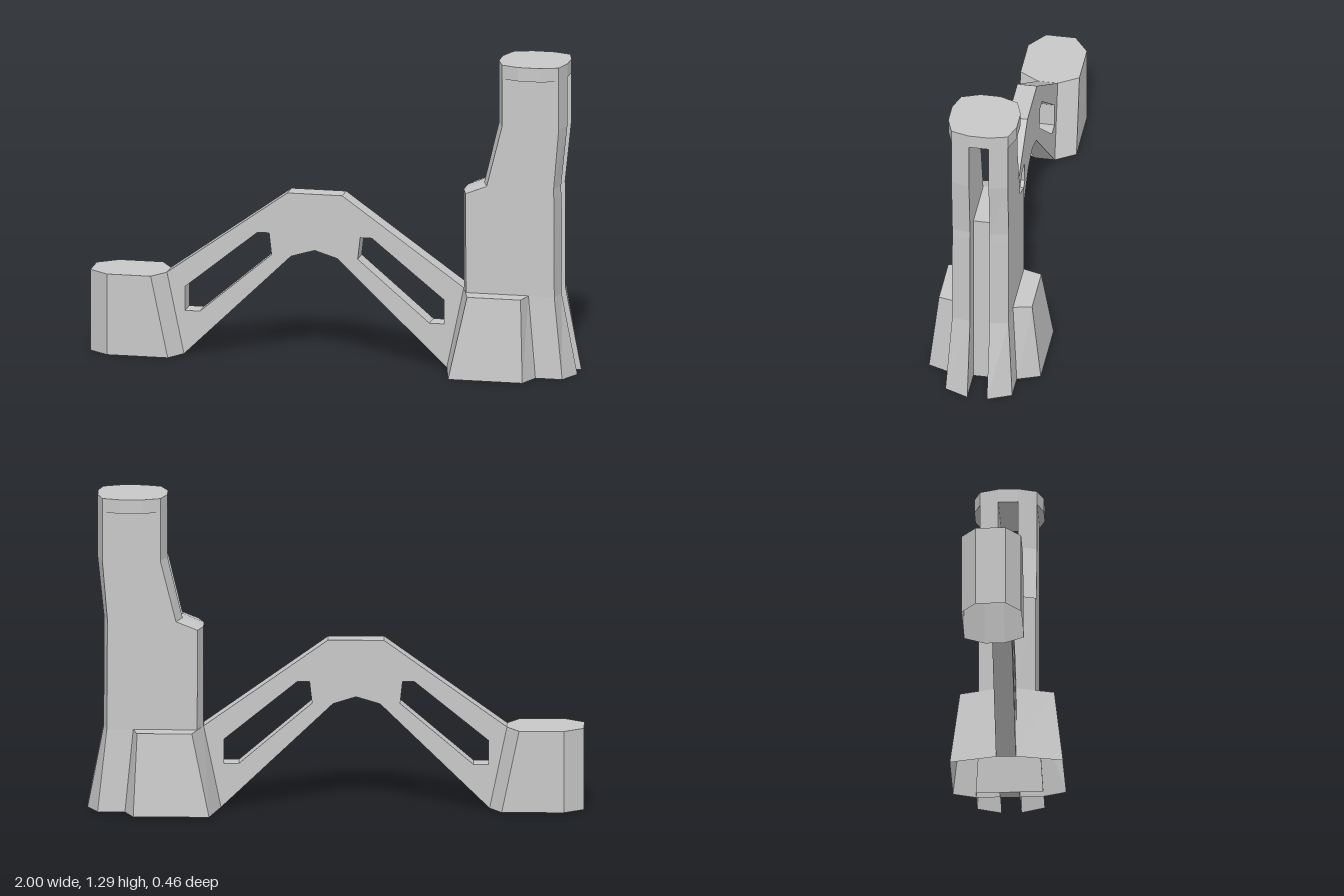
import * as THREE from 'three';

const grey = new THREE.MeshStandardMaterial({ color: 0xc8c8c8, side: THREE.DoubleSide, flatShading: true });
grey.name = 'plain grey';

// Skin a stack of [y, ring] levels; rings are [x, z] loops, counterclockwise from above
function loft(name, levels, { top = true, bottom = false } = {}) {
  const pos = [];
  const n = levels[0][1].length;
  const point = (l, i) => {
    const [y, ring] = levels[l];
    const [x, z] = ring[i % n];
    return [x, y, z];
  };
  const tri = (a, b, c) => pos.push(...a, ...b, ...c);
  for (let l = 0; l < levels.length - 1; l++) {
    for (let i = 0; i < n; i++) {
      const a = point(l, i), b = point(l, i + 1), c = point(l + 1, i + 1), d = point(l + 1, i);
      tri(a, b, c);
      tri(a, c, d);
    }
  }
  const last = levels.length - 1;
  for (let i = 1; i < n - 1; i++) {
    if (top) tri(point(last, 0), point(last, i), point(last, i + 1));
    if (bottom) tri(point(0, 0), point(0, i + 1), point(0, i));
  }
  const geo = new THREE.BufferGeometry();
  geo.setAttribute('position', new THREE.Float32BufferAttribute(pos, 3));
  geo.computeVertexNormals();
  const mesh = new THREE.Mesh(geo, grey);
  mesh.name = name;
  return mesh;
}

const flip = (half) => half.map(([x, z]) => [x, -z]).reverse();
const symmetric = (half) => [...half, ...flip(half)];

// Flat profile in x and y, extruded evenly about z = 0
function plate(name, outline, holes, thickness) {
  const toVec = (pts) => pts.map(([x, y]) => new THREE.Vector2(x, y));
  const shape = new THREE.Shape(toVec(outline));
  holes.forEach((h) => shape.holes.push(new THREE.Path(toVec(h))));
  const geo = new THREE.ExtrudeGeometry(shape, { depth: thickness, bevelEnabled: false });
  geo.translate(0, 0, -thickness / 2);
  const mesh = new THREE.Mesh(geo, grey);
  mesh.name = name;
  return mesh;
}

export function createModel() {
  const model = new THREE.Group();
  model.name = 'archedSupport';

  // Arched beam with a slanted window in each arm
  const mid = -0.083;
  const windowHole = [[-0.615, 0.18], [-0.555, 0.18], [-0.26, 0.43], [-0.27, 0.52], [-0.318, 0.52], [-0.615, 0.28]];
  const mirrored = windowHole.map(([x, y]) => [2 * mid - x, y]);
  model.add(plate('archBeam', [
    [-0.62, 0], [-0.18, 0.428], [-0.083, 0.457], [0.01, 0.428], [0.46, 0], [0.53, 0.335],
    [0.03, 0.69], [-0.195, 0.69], [-0.69, 0.335],
  ], [windowHole, mirrored], 0.08));

  // Small foot, hollow underneath
  const footRing = (shift) => symmetric([
    [-1, 0.06], [-0.92, 0.12], [-0.74 + shift, 0.12], [-0.69 + shift, 0.04],
  ]);
  model.add(loft('smallFoot', [[0, footRing(0.07)], [0.335, footRing(0)]]));

  // Flared base of the tower, hollow underneath
  model.add(loft('towerBase', [
    [0, symmetric([[0.46, 0.04], [0.505, 0.228], [0.81, 0.228], [0.845, 0.137]])],
    [0.335, symmetric([[0.53, 0.04], [0.575, 0.19], [0.795, 0.19], [0.812, 0.115]])],
  ]));

  // Two chamfered cheeks with flared heels, one on each side of the slot
  const cheek = [
    [0.335, 0.53, 0.555, 0.918, 0.932],
    [0.745, 0.53, 0.553, 0.916, 0.931],
    [0.78, 0.615, 0.64, 0.915, 0.93],
    [1.03, 0.675, 0.703, 0.936, 0.956],
    [1.23, 0.675, 0.703, 0.936, 0.956],
  ].map(([y, a, b, c, d]) => [y, [[a, 0.04], [b, 0.115], [c, 0.115], [d, 0.04]]]);
  const heel = [
    [0, [[0.8, 0.04], [0.8, 0.136], [0.955, 0.136], [0.997, 0.04]]],
    [0.335, [[0.78, 0.04], [0.78, 0.115], [0.918, 0.115], [0.932, 0.04]]],
  ];
  for (const [side, place] of [['left', (r) => r], ['right', flip]]) {
    const put = (levels) => levels.map(([y, ring]) => [y, place(ring)]);
    model.add(loft(side + 'Cheek', put(cheek)));
    model.add(loft(side + 'Heel', put(heel)));
  }

  // Core closing the slot below the ledge
  model.add(plate('towerCore', [
    [0.53, 0.335], [0.78, 0.335], [0.8, 0], [0.85, 0], [0.85, 0.78], [0.615, 0.78], [0.53, 0.745],
  ], [], 0.08));

  // Rounded cap bridging the cheeks
  const capRing = symmetric([
    [0.675, 0.04], [0.703, 0.115], [0.775, 0.14], [0.865, 0.14], [0.936, 0.115], [0.956, 0.04],
  ]);
  model.add(loft('towerCap', [[1.23, capRing], [1.287, capRing]], { bottom: true }));

  return model;
}
